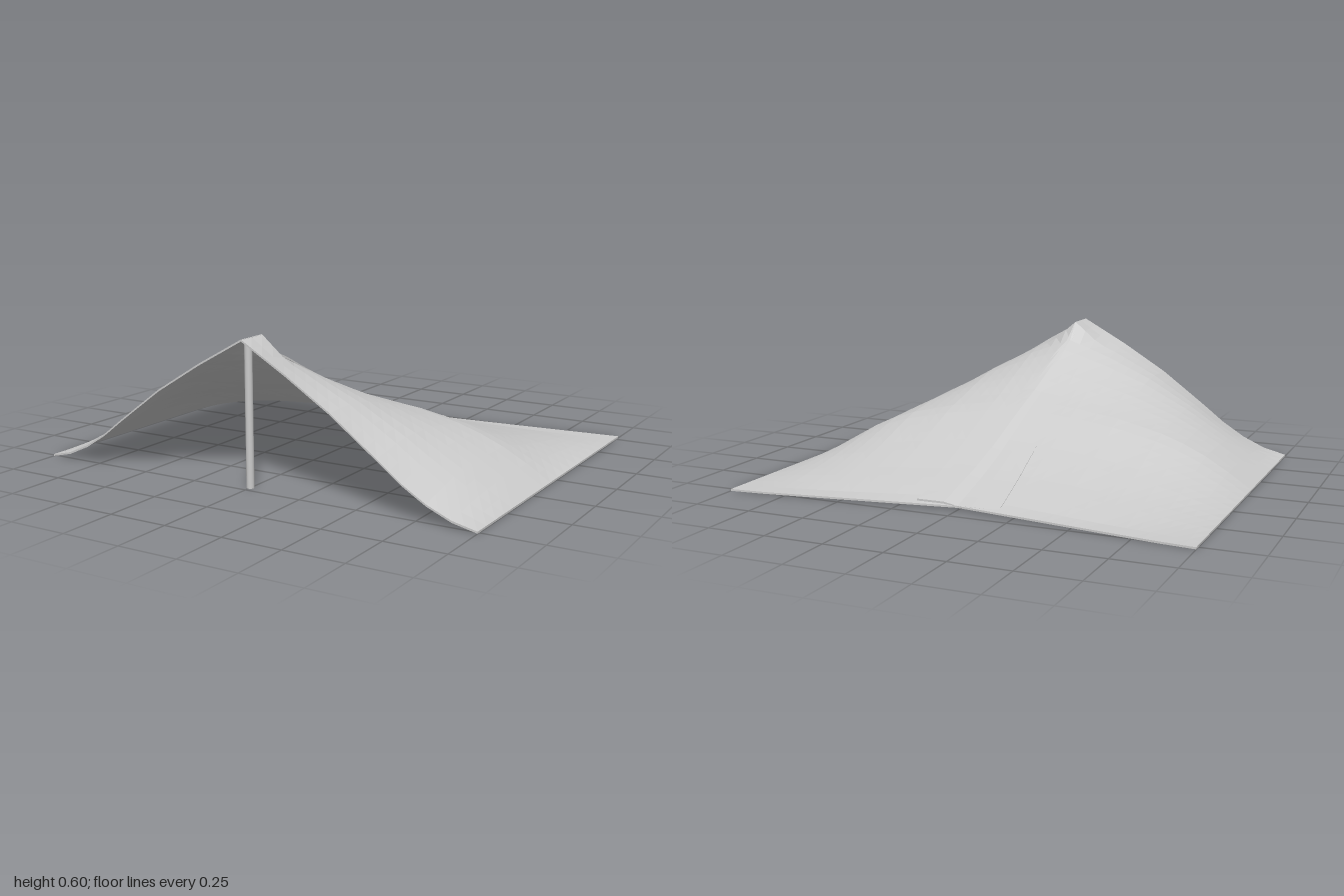
import * as THREE from 'three';

const { lerp, clamp, smoothstep } = THREE.MathUtils;

// Piecewise-linear curve through [position, value] pairs, positions rising
function curve(pts, t) {
  if (t <= pts[0][0]) return pts[0][1];
  for (let i = 1; i < pts.length; i++) {
    const [a, va] = pts[i - 1], [b, vb] = pts[i];
    if (t <= b) return va + (vb - va) * (t - a) / (b - a);
  }
  return pts[pts.length - 1][1];
}

// Ridge height along z, from back to front
const RIDGE = [[-0.78, 0.008], [-0.66, 0.018], [-0.6, 0.035], [-0.4, 0.093], [-0.2, 0.165], [0, 0.25],
  [0.2, 0.335], [0.4, 0.44], [0.5, 0.497], [0.57, 0.532], [0.62, 0.552], [0.765, 0.6]];
// Extra height where the pole pushes the cloth up
const PEAK = [[0.55, 0], [0.62, 0.048], [0.765, 0]];
// Slope from ridge to ground at the mouth (sagging) and further back (bulging)
const MOUTH = [[0, 1], [0.2, 0.81], [0.4, 0.6], [0.6, 0.35], [0.7, 0.22], [0.8, 0.115], [0.9, 0.04], [1, 0]];
const BODY = [[0, 1], [0.2, 0.96], [0.4, 0.88], [0.6, 0.73], [0.7, 0.61], [0.8, 0.45], [0.9, 0.24], [1, 0]];
// How far a panel reaches across the ridge
const FLAP = [[-0.66, 0.18], [-0.3, 0.145], [0, 0.12], [0.2, 0.09], [0.4, 0.05], [0.6, 0.003]];
// Back hem, from the middle to a corner
const BACK = [[0, -0.665], [0.85, -0.765], [1, -0.778]];

const THICK = 0.008;
const FRONT = 0.763;

function height(u, z) {
  const slope = lerp(curve(MOUTH, u), curve(BODY, u), clamp((FRONT - z) / 0.7, 0, 1));
  return THICK + (curve(RIDGE, z) - THICK) * slope + curve(PEAK, z) * Math.max(0, 1 - u / 0.12);
}

// One cloth panel: side +1 or -1, its flap lifted above or below the other panel
function panelGeometry(side, lift) {
  const rows = 20, main = 20, flap = 3, cols = main + flap;
  const pos = [], index = [];
  const w = cols + 1, layer = w * (rows + 1);
  for (const drop of [0, THICK]) {
    for (let i = 0; i <= rows; i++) {
      for (let j = 0; j <= cols; j++) {
        const t = i / rows;
        let X = 1 - j / main;
        if (j > main) X = -curve(FLAP, lerp(FRONT, -0.66, t)) * (j - main) / flap;
        const u = Math.abs(X);
        const z = lerp(FRONT + 0.01 * Math.sin(u * Math.PI), curve(BACK, X), t);
        const offset = X < 0 ? lift(z) * Math.min(1, -X / 0.03) : 0;
        pos.push(side * X, Math.max(0, height(u, z) + offset - drop), z);
      }
    }
  }
  const quad = (a, b, c, d) => {
    if (side > 0) index.push(a, b, c, a, c, d);
    else index.push(a, c, b, a, d, c);
  };
  // Upper and lower faces
  for (let i = 0; i < rows; i++) {
    for (let j = 0; j < cols; j++) {
      const a = i * w + j, b = a + 1, c = b + w, d = a + w;
      quad(a, d, c, b);
      quad(a + layer, b + layer, c + layer, d + layer);
    }
  }
  // Hem around the rim
  for (let j = 0; j < cols; j++) {
    const f = j, b = rows * w + j;
    quad(f, f + 1, f + 1 + layer, f + layer);
    quad(b + 1, b, b + layer, b + 1 + layer);
  }
  for (let i = 0; i < rows; i++) {
    const o = i * w, n = o + cols;
    quad(o + w, o, o + layer, o + w + layer);
    quad(n, n + w, n + w + layer, n + layer);
  }
  const g = new THREE.BufferGeometry();
  g.setAttribute('position', new THREE.Float32BufferAttribute(pos, 3));
  g.setIndex(index);
  g.computeVertexNormals();
  return g;
}

export function createModel() {
  const group = new THREE.Group();
  group.name = 'tarpTent';
  const cloth = new THREE.MeshStandardMaterial({ color: 0xcccccc, flatShading: true, side: THREE.DoubleSide });
  const smooth = new THREE.MeshStandardMaterial({ color: 0xcccccc, side: THREE.DoubleSide });

  const add = (name, geometry, material) => {
    const mesh = new THREE.Mesh(geometry, material);
    mesh.name = name;
    group.add(mesh);
    return mesh;
  };

  // Under panel: its flap lies inside near the mouth and merges with the cloth at the back
  add('leftPanel', panelGeometry(1, z => lerp(0.002, -0.012, smoothstep(z, -0.25, 0.1))), cloth);
  // Over panel: its flap lies on top of the other
  add('rightPanel', panelGeometry(-1, () => 0.011), cloth);

  // Upright pole just inside the mouth
  const pole = add('pole', new THREE.CylinderGeometry(0.016, 0.016, 0.585, 12), smooth);
  pole.position.set(0, 0.2925, 0.715);

  // Spar running back from the pole top, just under the ridge
  const path = [[0, 0.7], [-0.025, 0.5], [-0.055, 0.25], [-0.085, 0.03], [-0.11, -0.17]]
    .map(([x, z]) => new THREE.Vector3(x, height(-x, z) - 0.024, z));
  add('ridgeSpar', new THREE.TubeGeometry(new THREE.CatmullRomCurve3(path), 24, 0.014, 8), smooth);

  return group;
}
